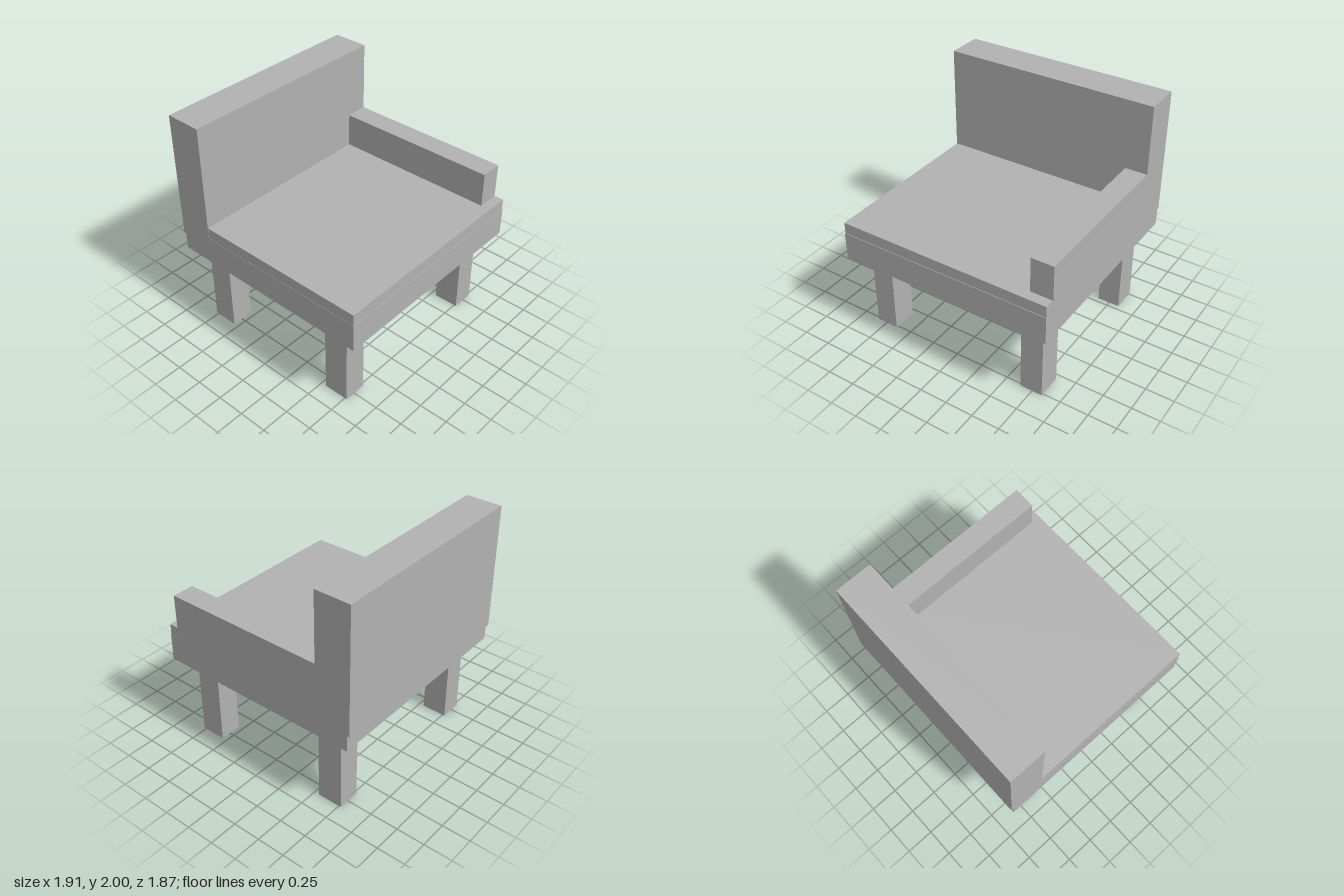
import * as THREE from 'three';

export function createModel() {
  const group = new THREE.Group();
  const grey = new THREE.MeshStandardMaterial({ color: 0xb2b2b2 });
  grey.name = 'grey';

  // Box from its lower and upper limits on each axis
  const box = (name, [x0, x1], [y0, y1], [z0, z1]) => {
    const mesh = new THREE.Mesh(new THREE.BoxGeometry(x1 - x0, y1 - y0, z1 - z0), grey);
    mesh.position.set((x0 + x1) / 2, (y0 + y1) / 2, (z0 + z1) / 2);
    mesh.name = name;
    group.add(mesh);
  };

  // Seat frame with a thin cushion on top
  box('seatFrame', [-0.957, 0.957], [0.735, 0.98], [-0.915, 0.937]);
  box('seatCushion', [-0.955, 0.955], [0.98, 1.08], [-0.62, 0.932]);

  // Backrest, overhanging the frame slightly at the rear
  box('backrest', [-0.957, 0.957], [0.88, 2], [-0.937, -0.617]);

  // Single armrest on the model's left
  box('armrest', [0.76, 0.957], [0.98, 1.385], [-0.617, 0.845]);

  // Four legs
  for (const [side, x] of [['Left', 0.74], ['Right', -0.74]]) {
    for (const [end, z] of [['front', 0.657], ['back', -0.657]]) {
      box(`${end}${side}Leg`, [x - 0.1, x + 0.1], [0, 0.735], [z - 0.112, z + 0.112]);
    }
  }

  return group;
}
